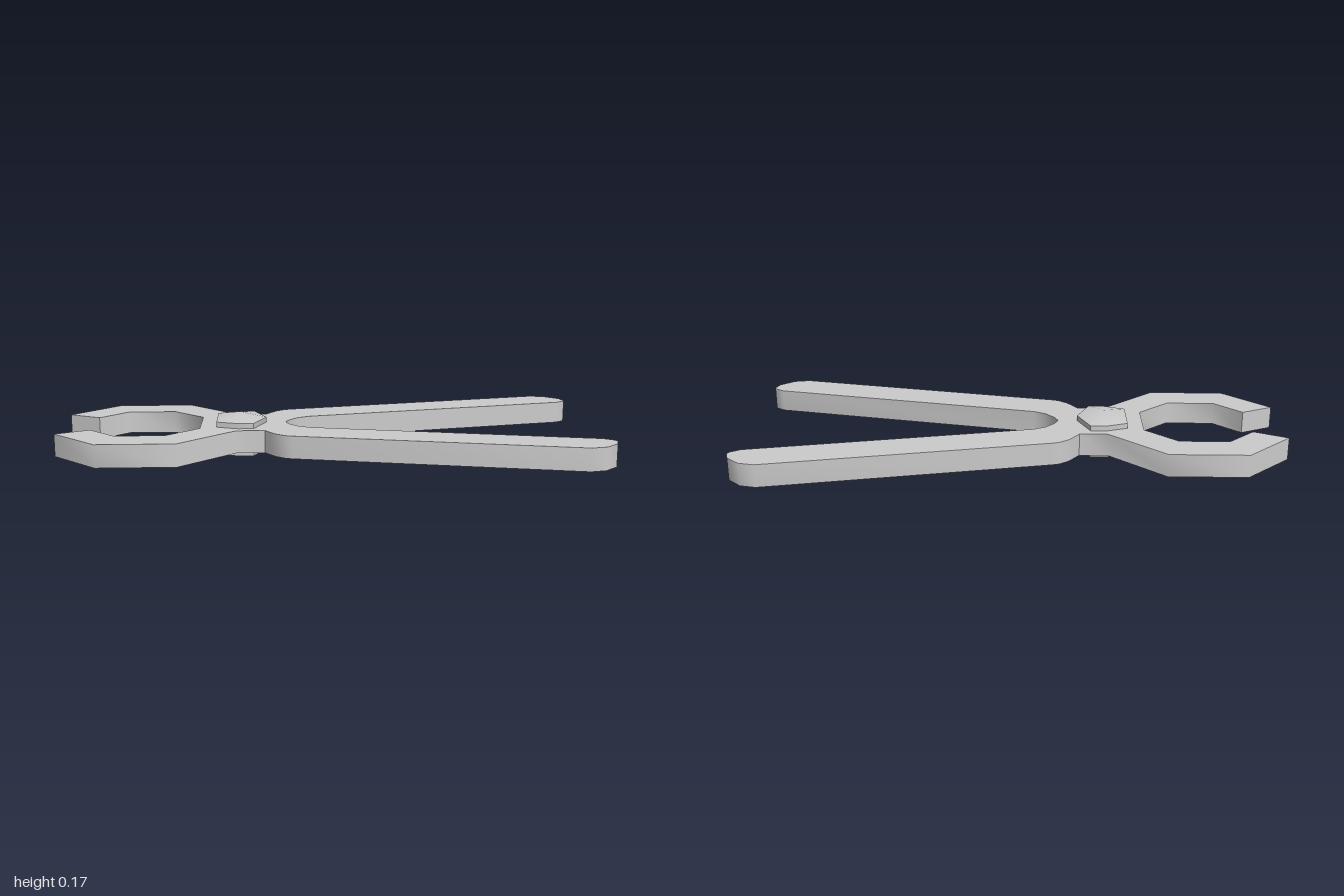
import * as THREE from 'three';
import { toCreasedNormals } from 'three/addons/utils/BufferGeometryUtils.js';

const material = new THREE.MeshStandardMaterial({ color: 0xcccccc });
const CREASE = 0.9;

// Mirror a half outline (z >= 0) into a closed symmetric one.
// Points lying on the axis are kept only once.
function mirrored(half) {
  const other = half.filter(([, z]) => z > 0).reverse().map(([x, z]) => [x, -z]);
  return [...half, ...other].map(([x, z]) => new THREE.Vector2(x, z));
}

// Flat plate: both jaws, the pivot waist and both handles
function plierPlate() {
  const outline = mirrored([
    // handle, from the crotch to its rounded end and back
    [-0.163, 0], [-0.15, 0.033], [-0.115, 0.075], [-0.07, 0.099],
    [0.96, 0.332], [0.992, 0.355], [1, 0.37], [0.988, 0.412], [0.937, 0.46], [0.88, 0.473],
    [-0.14, 0.243], [-0.165, 0.235], [-0.2, 0.207], [-0.222, 0.175],
    // waist and angular jaw
    [-0.24, 0.147], [-0.345, 0.147], [-0.545, 0.345], [-0.83, 0.345], [-1, 0.17],
    [-0.88, 0.108], [-0.78, 0.212], [-0.597, 0.212], [-0.48, 0.098],
  ]);
  const geometry = new THREE.ExtrudeGeometry(new THREE.Shape(outline), { depth: 0.084, bevelEnabled: false });
  geometry.rotateX(Math.PI / 2).translate(0, 0.126, 0);
  return toCreasedNormals(geometry, CREASE);
}

// Faceted rivet through the plate, with a low point at each end
function pivotRivet() {
  const ring = mirrored([[-0.235, 0], [-0.282, 0.113], [-0.34, 0.113], [-0.42, 0.082]]);
  const n = ring.length;
  const positions = [];
  for (const y of [0.0225, 0.1455]) ring.forEach((p) => positions.push(p.x, y, p.y));
  positions.push(-0.335, 0, 0, -0.335, 0.168, 0);
  const index = [];
  for (let i = 0; i < n; i++) {
    const j = (i + 1) % n;
    index.push(i, n + i, j, j, n + i, n + j); // side
    index.push(2 * n, i, j); // lower point
    index.push(2 * n + 1, n + j, n + i); // upper point
  }
  const geometry = new THREE.BufferGeometry();
  geometry.setAttribute('position', new THREE.Float32BufferAttribute(positions, 3));
  geometry.setIndex(index);
  return toCreasedNormals(geometry, CREASE);
}

export function createModel() {
  const group = new THREE.Group();
  group.name = 'pliers';
  const parts = { jawsAndHandles: plierPlate(), pivotRivet: pivotRivet() };
  for (const [name, geometry] of Object.entries(parts)) {
    const mesh = new THREE.Mesh(geometry, material);
    mesh.name = name;
    group.add(mesh);
  }
  return group;
}
